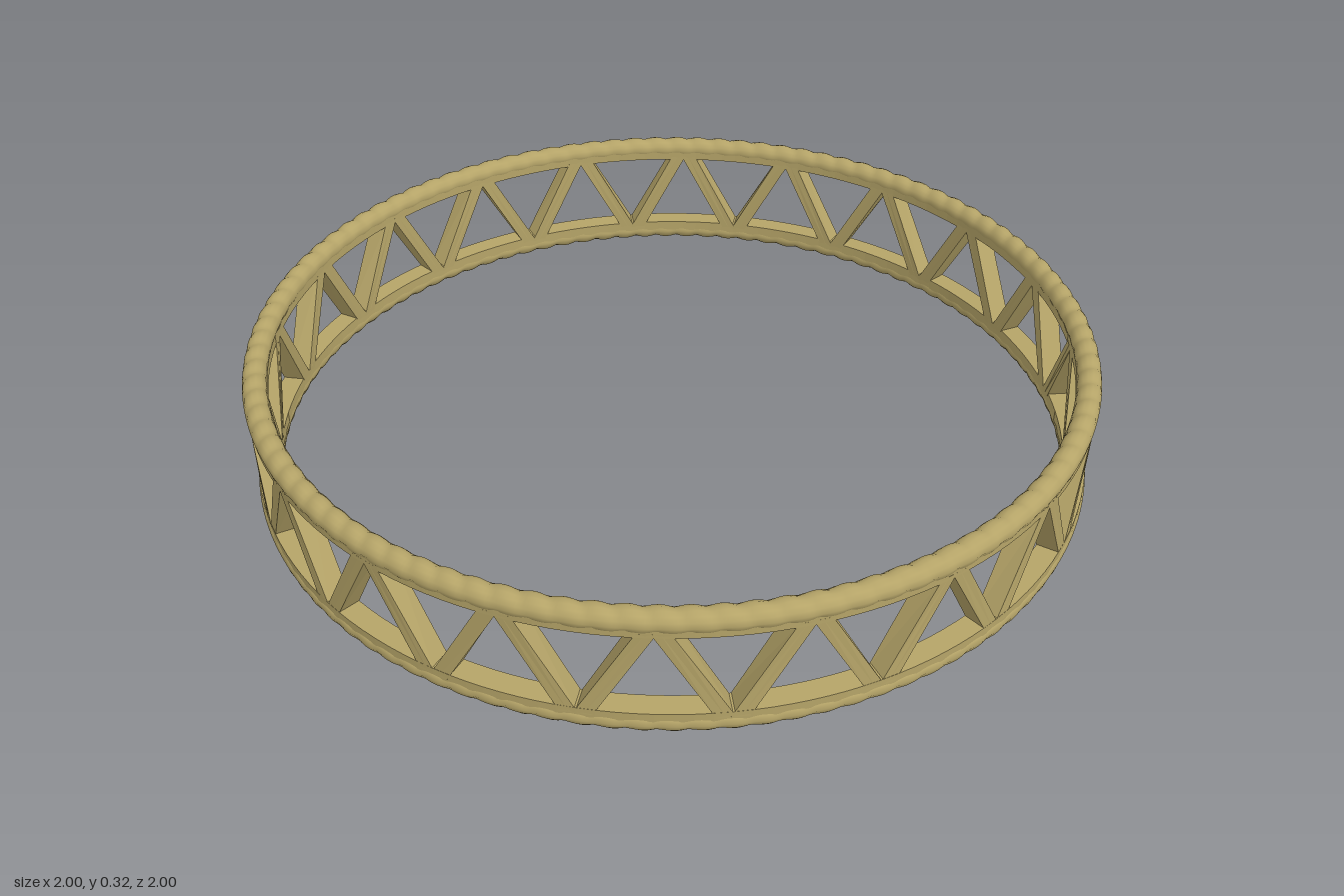
import * as THREE from 'three';

const PERIODS = 20;   // zigzags around the band
const BUMPS = 100;    // twists along each rope
const HEIGHT = 0.32;
const R_IN = 0.945, R_OUT = 0.996;

const material = new THREE.MeshStandardMaterial({ color: 0xb5a468 });

// Twisted rope ring: round section with slanted shallow bumps, flush at radius 1
function ropeGeometry() {
  const along = BUMPS * 8, around = 14, tube = 0.0285;
  const pos = [], index = [];
  for (let i = 0; i < along; i++) {
    const a = (i / along) * Math.PI * 2;
    for (let j = 0; j < around; j++) {
      const p = (j / around) * Math.PI * 2;
      const bump = Math.abs(Math.sin((BUMPS * a + p) / 2));
      const t = tube - 0.007 * (1 - bump) * Math.abs(Math.sin(p));
      const r = 0.9715 + t * Math.cos(p);
      pos.push(r * Math.sin(a), t * Math.sin(p), r * Math.cos(a));
      const i2 = (i + 1) % along, j2 = (j + 1) % around;
      const A = i * around + j, B = i2 * around + j;
      const C = i2 * around + j2, D = i * around + j2;
      index.push(A, B, C, A, C, D);
    }
  }
  const g = new THREE.BufferGeometry();
  g.setAttribute('position', new THREE.Float32BufferAttribute(pos, 3));
  g.setIndex(index);
  g.computeVertexNormals();
  return g;
}

// Flat rail with a rectangular section
function railGeometry(y0, y1) {
  const corners = [[R_IN, y0], [R_OUT, y0], [R_OUT, y1], [R_IN, y1], [R_IN, y0]];
  const parts = corners.map(([r, y]) => new THREE.Vector2(r, y));
  const g = new THREE.LatheGeometry(parts, 160).toNonIndexed();
  g.computeVertexNormals();
  return g;
}

// Slanted bar: a box sheared sideways, then wrapped on the ring
function strutGeometry(side) {
  const g = new THREE.BoxGeometry(1, 1, 1, 2, 1, 1).toNonIndexed();
  const p = g.attributes.position;
  const half = Math.PI / PERIODS;
  for (let i = 0; i < p.count; i++) {
    const up = p.getY(i) + 0.5;
    const centre = side * THREE.MathUtils.lerp(half - 0.014, 0.014, up);
    const a = centre + p.getX(i) * 0.04;
    const r = p.getZ(i) > 0 ? R_OUT : R_IN;
    p.setXYZ(i, r * Math.sin(a), 0.045 + up * 0.23, r * Math.cos(a));
  }
  g.computeVertexNormals();
  return g;
}

export function createModel() {
  const model = new THREE.Group();
  model.name = 'latticeRing';

  const add = (parent, name, geometry) => {
    const mesh = new THREE.Mesh(geometry, material);
    mesh.name = name;
    parent.add(mesh);
    return mesh;
  };

  // Rope edges
  const rope = ropeGeometry();
  add(model, 'upperRope', rope).position.y = HEIGHT - 0.0285;
  const lower = add(model, 'lowerRope', rope);
  lower.position.y = 0.0285;
  lower.rotation.x = Math.PI;

  // Rails just inside the ropes
  add(model, 'lowerRail', railGeometry(0.03, 0.06));
  add(model, 'upperRail', railGeometry(HEIGHT - 0.055, HEIGHT - 0.03));

  // Zigzag lattice
  const lattice = new THREE.Group();
  lattice.name = 'lattice';
  const right = strutGeometry(-1), left = strutGeometry(1);
  for (let i = 0; i < PERIODS; i++) {
    const angle = (i / PERIODS) * Math.PI * 2;
    add(lattice, 'leftStrut', left).rotation.y = angle;
    add(lattice, 'rightStrut', right).rotation.y = angle;
  }
  model.add(lattice);
  return model;
}
